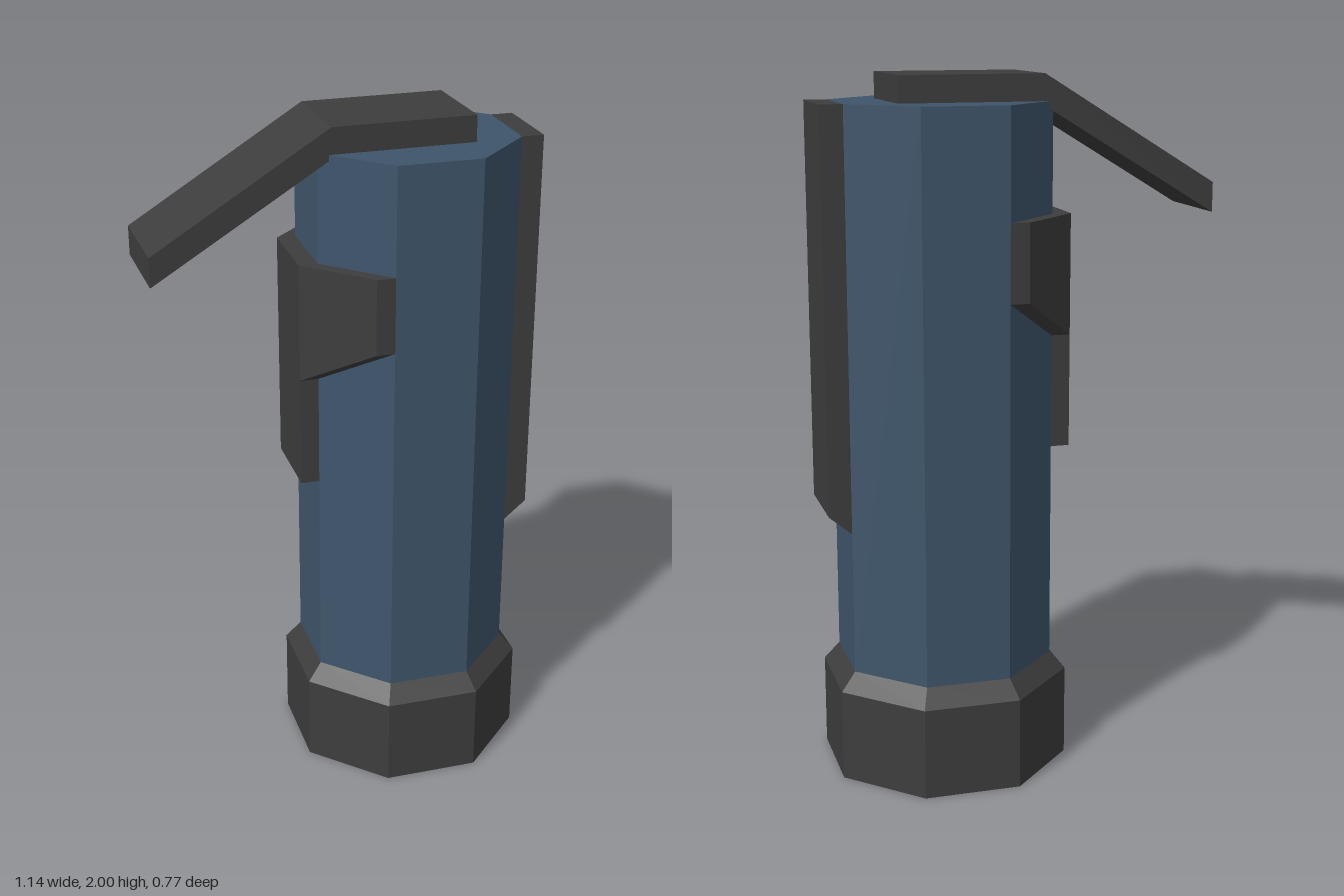
import * as THREE from 'three';

export function createModel() {
  const model = new THREE.Group();
  const blue = new THREE.MeshStandardMaterial({ color: 0x3f556b, flatShading: true });
  blue.name = 'slate blue';
  const dark = new THREE.MeshStandardMaterial({ color: 0x3d3d3d, flatShading: true });
  dark.name = 'dark grey';

  const R = 0.317;                          // octagon radius of the body
  const flat = R * Math.cos(Math.PI / 8);   // axis to the middle of a side
  const half = R * Math.sin(Math.PI / 8);   // half the width of a side

  const add = (parent, name, geometry, material) => {
    const mesh = new THREE.Mesh(geometry, material);
    mesh.name = name;
    parent.add(mesh);
    return mesh;
  };
  const extrude = (points, depth) => new THREE.ExtrudeGeometry(
    new THREE.Shape(points.map(([x, y]) => new THREE.Vector2(x, y))),
    { depth, bevelEnabled: false });

  // Everything sits around an off-centre vertical axis
  const core = new THREE.Group();
  core.name = 'canister';
  core.position.set(0.193, 0, 0.025);
  model.add(core);

  // Octagonal body
  add(core, 'body', new THREE.CylinderGeometry(R, R, 1.625, 8).translate(0, 1.1125, 0), blue);

  // Wider base with a chamfered top rim
  const baseProfile = [[0, 0], [0.363, 0], [0.363, 0.265], [R, 0.317]];
  add(core, 'base', new THREE.LatheGeometry(
    baseProfile.map(([x, y]) => new THREE.Vector2(x, y)), 8), dark);

  // Bent lever on the top
  const lever = add(core, 'lever', extrude([
    [0.151, 1.925], [0.151, 2], [-0.262, 2], [-0.768, 1.69], [-0.768, 1.605], [-0.242, 1.925],
  ], 0.283).translate(0, 0, -0.1415), dark);
  lever.rotation.y = -0.37;

  // Parts lined up with the sides of the body
  const sides = new THREE.Group();
  sides.name = 'sideParts';
  sides.rotation.y = -Math.PI / 8;
  core.add(sides);

  // Long raised panel with a chamfered lower end
  add(sides, 'sidePanel', extrude([
    [flat, 0.73], [flat + 0.065, 0.785], [flat + 0.065, 1.925], [flat, 1.925],
  ], 2 * half).translate(0, 0, -half), dark);

  // Plate under the lever, folded round the neighbouring sides
  const plate = (name, points) => {
    const g = extrude(points, 0.054).rotateY(-Math.PI / 2);
    const p = g.attributes.position;
    for (let i = 0; i < p.count; i++) {
      p.setX(i, p.getX(i) - flat + Math.max(0, Math.abs(p.getZ(i)) - half));
    }
    g.computeVertexNormals();
    add(sides, name, g, dark);
  };
  plate('clipTongue', [[-half, 0.945], [half, 0.945], [half, 1.615], [-half, 1.615]]);
  for (const s of [-1, 1]) {
    plate(s < 0 ? 'clipBackWing' : 'clipFrontWing',
      [[s * half, 1.27], [s * flat, 1.395], [s * flat, 1.615], [s * half, 1.615]]);
  }

  return model;
}
